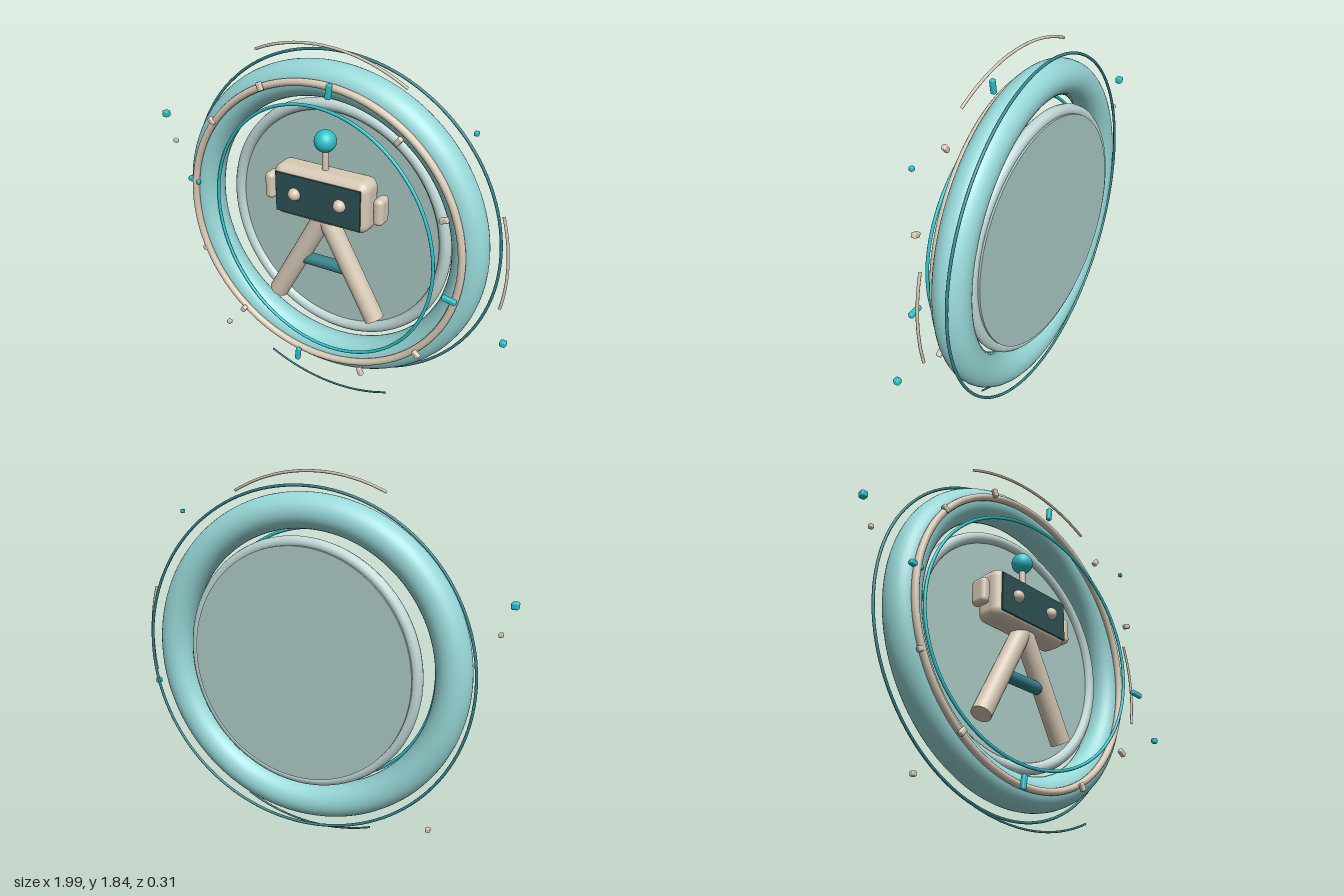
import * as THREE from 'three';
import { RoundedBoxGeometry } from 'three/addons/geometries/RoundedBoxGeometry.js';

const mat = (name, color) => {
  const m = new THREE.MeshStandardMaterial({ color });
  m.name = name;
  return m;
};

export function createModel() {
  const aqua = mat('pale aqua', 0x98d8d8);
  const cream = mat('cream', 0xd8cab6);
  const cyan = mat('bright cyan', 0x2cc4cb);
  const teal = mat('deep teal', 0x35838a);
  const mist = mat('mist', 0xc0d8d5);
  const glass = mat('grey green', 0xaac8c4);
  const screen = mat('dark screen', 0x2d5052);

  const root = new THREE.Group();
  root.name = 'robotMedallion';
  const CY = 0.932;
  const TILT = 0.076;

  const add = (parent, name, geo, material, x = 0, y = 0, z = 0) => {
    const m = new THREE.Mesh(geo, material);
    m.name = name;
    m.position.set(x, y, z);
    parent.add(m);
    return m;
  };
  const ring = (name, r, tube, material, z, turn, x = 0, y = CY) => {
    const m = add(root, name, new THREE.TorusGeometry(r, tube, tube > 0.05 ? 32 : 12, 128), material, x, y, z);
    m.rotation.y = turn;
    return m;
  };
  const rounded = (w, h, d, r) => new RoundedBoxGeometry(w, h, d, 4, r);
  // Cylinder between two points
  const rod = (parent, name, a, b, r, material) => {
    const p = new THREE.Vector3(...a), q = new THREE.Vector3(...b);
    const dir = q.clone().sub(p);
    const m = add(parent, name, new THREE.CylinderGeometry(r, r, dir.length(), 24), material);
    m.position.copy(p).add(q).multiplyScalar(0.5);
    m.quaternion.setFromUnitVectors(new THREE.Vector3(0, 1, 0), dir.normalize());
    return m;
  };

  // Concentric rings, each with its own slight turn
  ring('mainRing', 0.735, 0.086, aqua, -0.016, TILT);
  ring('creamRing', 0.738, 0.018, cream, 0.08, TILT);
  ring('outerOrbit', 0.854, 0.007, teal, -0.07, TILT);
  ring('cyanRing', 0.643, 0.008, cyan, 0.102, -0.042, 0.006, 0.926);

  // Backing disc with a rounded rim
  ring('discRim', 0.597, 0.03, mist, -0.068, 0.016, 0.006, 0.928);
  const disc = add(root, 'backingDisc', new THREE.CylinderGeometry(0.585, 0.585, 0.04, 96), glass, 0.006, 0.928, -0.085);
  disc.rotation.set(Math.PI / 2, 0, -0.016);

  // Robot
  const robot = new THREE.Group();
  robot.name = 'robot';
  robot.position.set(0.004, 0, 0.028);
  robot.rotation.y = TILT;
  root.add(robot);
  add(robot, 'head', rounded(0.515, 0.267, 0.15, 0.05), cream, 0, 1.106, 0);
  add(robot, 'facePlate', new THREE.BoxGeometry(0.458, 0.203, 0.009), screen, 0, 1.106, 0.077);
  rod(robot, 'antenna', [0, 1.22, 0], [0, 1.35, 0], 0.016, cream);
  add(robot, 'antennaBall', new THREE.SphereGeometry(0.054, 32, 20), cyan, 0, 1.382, 0);
  for (const s of [-1, 1]) {
    add(robot, 'eye', new THREE.SphereGeometry(0.032, 24, 16), cream, s * 0.123, 1.112, 0.083);
    add(robot, 'ear', rounded(0.052, 0.138, 0.09, 0.024), cream, s * 0.297, 1.097, 0);
    rod(robot, 'leg', [s * 0.004, 0.995, 0], [s * 0.28, 0.487, 0], 0.05, cream);
  }
  rod(robot, 'crossbar', [-0.135, 0.727, 0], [0.135, 0.727, 0], 0.032, teal);

  // Dial ticks: every third one is long and cyan
  for (let i = 0; i < 12; i++) {
    const major = i % 3 === 0;
    const a = THREE.MathUtils.degToRad(7.4 + i * 30);
    const tick = add(root, major ? 'majorTick' : 'minorTick',
      rounded(0.026, major ? 0.072 : 0.042, 0.024, 0.007), major ? cyan : cream,
      Math.sin(a) * 0.745, CY + Math.cos(a) * 0.745, 0.137);
    tick.rotation.z = -a;
  }

  // Floating arcs: radius, tube, start and end in degrees, z
  const arc = (name, r, tube, from, to, z, material) => {
    const rad = THREE.MathUtils.degToRad;
    const m = add(root, name, new THREE.TorusGeometry(r, tube, 8, 40, rad(to - from)), material, 0, CY, z);
    m.rotation.z = rad(from);
  };
  arc('topArc', 0.908, 0.007, 61, 114, 0.053, cream);
  arc('sideArc', 0.925, 0.007, -11, 18, -0.042, cream);
  arc('bottomArc', 0.918, 0.005, 249, 295.4, 0.053, teal);

  // Floating specks: x, y, size, material
  for (const [x, y, s, m] of [
    [-0.983, 1.314, 0.034, cyan], [0.979, 0.652, 0.029, cyan], [0.765, 1.604, 0.02, cyan],
    [-0.93, 1.175, 0.022, cream], [-0.636, 0.139, 0.024, cream],
  ]) add(root, 'speck', rounded(s, s, s, s * 0.25), m, x, y, 0.056);

  return root;
}
